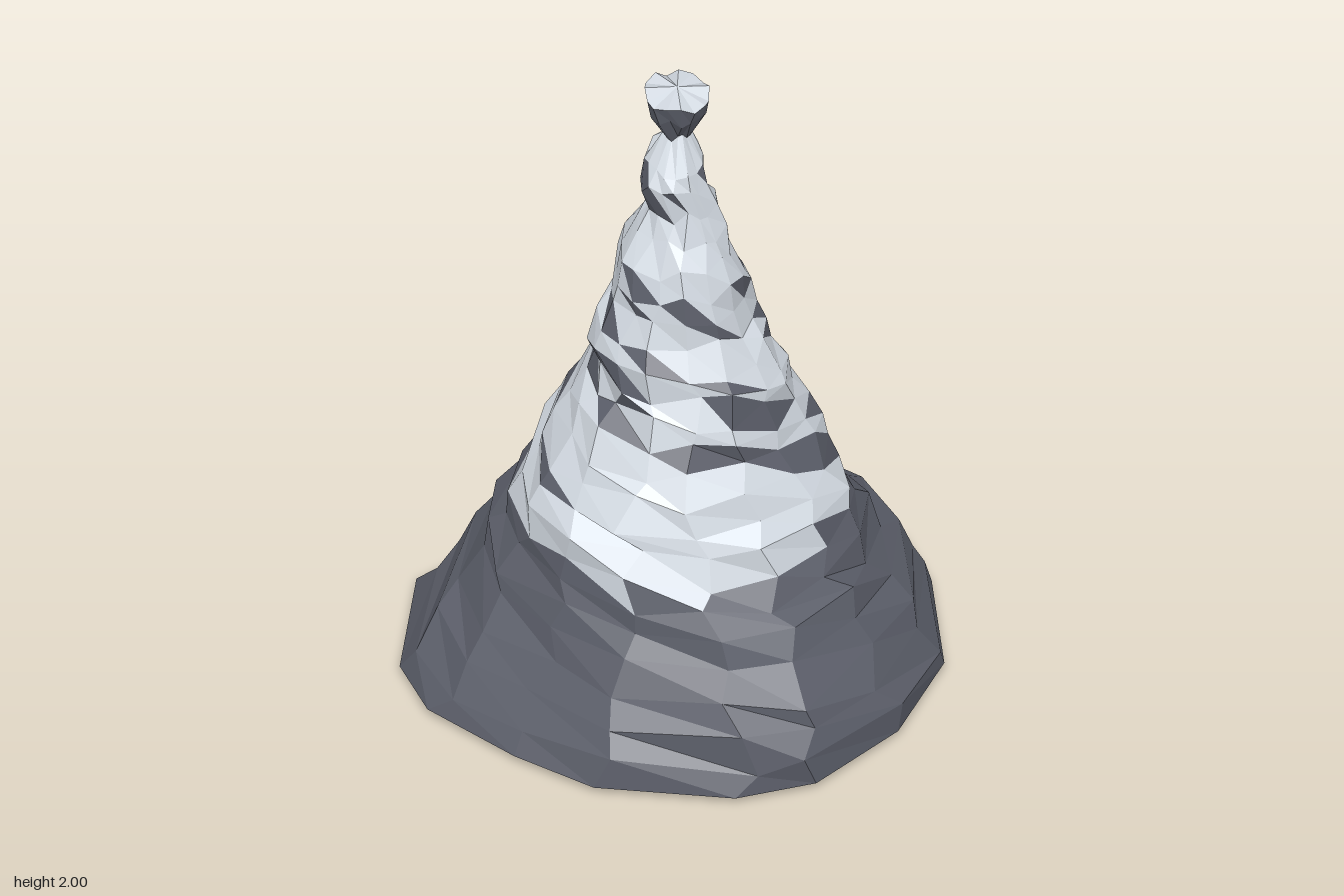
import * as THREE from 'three';

// Cross-sections: height, left/right x limits, back/front z limits
const SECTIONS = [
  [0.00, -0.72, 0.72, -0.72, 0.72], [0.025, -0.78, 0.78, -0.78, 0.78],
  [0.11, -0.74, 0.70, -0.70, 0.77], [0.19, -0.69, 0.68, -0.68, 0.73],
  [0.27, -0.62, 0.67, -0.66, 0.69], [0.35, -0.57, 0.58, -0.60, 0.63],
  [0.42, -0.55, 0.53, -0.58, 0.58], [0.49, -0.53, 0.49, -0.50, 0.54],
  [0.56, -0.52, 0.46, -0.48, 0.50], [0.64, -0.49, 0.43, -0.43, 0.48],
  [0.71, -0.46, 0.43, -0.43, 0.43], [0.78, -0.43, 0.40, -0.39, 0.40],
  [0.85, -0.39, 0.36, -0.36, 0.36], [0.92, -0.34, 0.31, -0.33, 0.33],
  [0.99, -0.29, 0.26, -0.28, 0.32], [1.06, -0.28, 0.25, -0.24, 0.30],
  [1.13, -0.30, 0.23, -0.23, 0.27], [1.20, -0.26, 0.21, -0.23, 0.22],
  [1.28, -0.23, 0.18, -0.19, 0.20], [1.36, -0.23, 0.14, -0.18, 0.20],
  [1.44, -0.21, 0.12, -0.17, 0.17], [1.52, -0.15, 0.10, -0.12, 0.14],
  [1.60, -0.12, 0.07, -0.09, 0.12], [1.68, -0.15, 0.04, -0.10, 0.10],
  [1.76, -0.13, 0.03, -0.09, 0.09], [1.84, -0.075, 0.005, -0.035, 0.035],
  [1.92, -0.115, 0.05, -0.085, 0.085], [1.98, -0.13, 0.06, -0.10, 0.10],
];
// Foot outline: angle from the front towards +x in degrees, and radius
const FOOT = [
  [8, 0.77], [35, 0.755], [66, 0.75], [83, 0.786], [119, 0.82], [131, 0.87], [166, 0.81],
  [186, 0.70], [207, 0.82], [237, 0.84], [252, 0.83], [276, 0.77], [296, 0.79], [326, 0.81], [343, 0.815],
];
// Shoulders that jut out of the slope: angle, height, strength
const SHOULDERS = [[333, 0.27, 0.08], [128, 0.68, 0.18]];
// Bare rock patches in the snow: angle, height
const PATCHES = [
  [-45, 1.32], [-16, 1.24], [32, 1.3], [-64, 1.16], [-16, 1.1], [45, 1.16], [-20, 1.02], [8, 0.96],
  [-52, 0.88], [-25, 0.9], [12, 0.82], [36, 0.74], [52, 0.65], [80, 1.32], [125, 1.4], [65, 1.1],
  [128, 1.24], [128, 1.16], [152, 1.16], [104, 1.02], [128, 1.02], [128, 1.1], [60, 0.82],
  [125, 0.82], [125, 0.74], [20, 1.72], [32, 1.72], [56, 1.72], [80, 1.72], [200, 1.72],
  [224, 1.72], [248, 1.72], [176, 1.24], [176, 1.16], [176, 1.02], [262, 1.38], [248, 1.22],
  [283, 1.1], [224, 1.04], [260, 0.97], [180, 0.9], [205, 0.87], [185, 0.74], [250, 0.72],
];
const DEG = Math.PI / 180;
const N = FOOT.length;
const CAP = 25; // first row of the rocky knob

let seed = 77;
function jitter(amount) {
  seed = (seed * 16807) % 2147483647;
  return (seed / 2147483647 * 2 - 1) * amount;
}

function shoulder(deg, y) {
  return SHOULDERS.reduce((sum, [a, h, strength]) => {
    const turn = ((deg - a) % 360 + 540) % 360 - 180;
    return sum + strength * Math.exp(-((turn / 22) ** 2) - ((y - h) / 0.16) ** 2);
  }, 0);
}

function makeRings() {
  return SECTIONS.map(([y, x0, x1, z0, z1], i) => {
    const foot = Math.max(0, 1 - y / 0.6);
    const rough = i < 2 ? 0 : i >= CAP ? 0.04 : y < 0.6 ? 0.035 : 0.065;
    const lift = i < 2 ? 0 : i >= CAP ? 0.018 : 0.026;
    const cx = i >= 23 ? (x0 + x1) / 2 : y * -0.018;
    return FOOT.map(([deg, radius], j) => {
      const even = 8 + j * 360 / N;
      const turn = deg * foot + even * (1 - foot);
      const a = (turn + (i < 2 ? 0 : jitter(5))) * DEG;
      const bulge = i < 2 ? 0 : shoulder(turn, y);
      const k = (1 + (radius / 0.78 - 1) * foot + bulge) * (1 + jitter(rough));
      const s = Math.sin(a), c = Math.cos(a);
      return new THREE.Vector3(
        cx + s * k * (s > 0 ? x1 - cx : cx - x0),
        y + jitter(lift),
        c * k * (c > 0 ? z1 : -z0),
      );
    });
  });
}

// Snow lies above a sloping snow line, except on overhangs
function isSnow(tri) {
  const mid = tri.getMidpoint(new THREE.Vector3());
  const angle = Math.atan2(mid.x + mid.y * 0.018, mid.z) / DEG;
  if (mid.y < 0.61 + 0.07 * Math.cos((angle - 115) * DEG)) return false;
  return tri.getNormal(new THREE.Vector3()).y > -0.2;
}

// Each patch claims the slanted cell around one upright edge of the mesh
function makeBareEdges() {
  return new Set(PATCHES.map(([angle, y]) => {
    const row = SECTIONS.findIndex((s) => s[0] > y) - 1;
    const column = (Math.round((angle - 8) * N / 360) + N) % N;
    return row * N + column;
  }));
}

export function createModel() {
  const rockMat = new THREE.MeshStandardMaterial({ color: 0x5b5e69, flatShading: true });
  rockMat.name = 'slate rock';
  const snowMat = new THREE.MeshStandardMaterial({ color: 0xd3dae2, flatShading: true });
  snowMat.name = 'pale snow';

  const rings = makeRings();
  const bare = makeBareEdges();
  const rock = [], snow = [];
  const put = (list, ...pts) => pts.forEach((p) => list.push(p.x, p.y, p.z));

  // Craggy slopes, with facets slanting down to the right
  for (let i = 0; i < rings.length - 1; i++) {
    for (let j = 0; j < N; j++) {
      const n = (j + 1) % N;
      const a = rings[i][j], b = rings[i][n], c = rings[i + 1][n], d = rings[i + 1][j];
      for (const [edge, ...t] of [[j, a, b, d], [n, b, c, d]]) {
        const snowy = i < CAP && !bare.has(i * N + edge) && isSnow(new THREE.Triangle(...t));
        put(snowy ? snow : rock, ...t);
      }
    }
  }

  // Flat underside and snowy summit fan
  const base = new THREE.Vector3(0, 0, 0);
  const peak = new THREE.Vector3(-0.035, 2, 0);
  const rim = rings[rings.length - 1];
  for (let j = 0; j < N; j++) {
    const n = (j + 1) % N;
    put(rock, base, rings[0][n], rings[0][j]);
    put(snow, peak, rim[j], rim[n]);
  }

  const group = new THREE.Group();
  group.name = 'mountain';
  for (const [name, list, mat] of [['rockSlopes', rock, rockMat], ['snowCover', snow, snowMat]]) {
    const geo = new THREE.BufferGeometry();
    geo.setAttribute('position', new THREE.Float32BufferAttribute(list, 3));
    geo.computeVertexNormals();
    const mesh = new THREE.Mesh(geo, mat);
    mesh.name = name;
    group.add(mesh);
  }
  return group;
}
